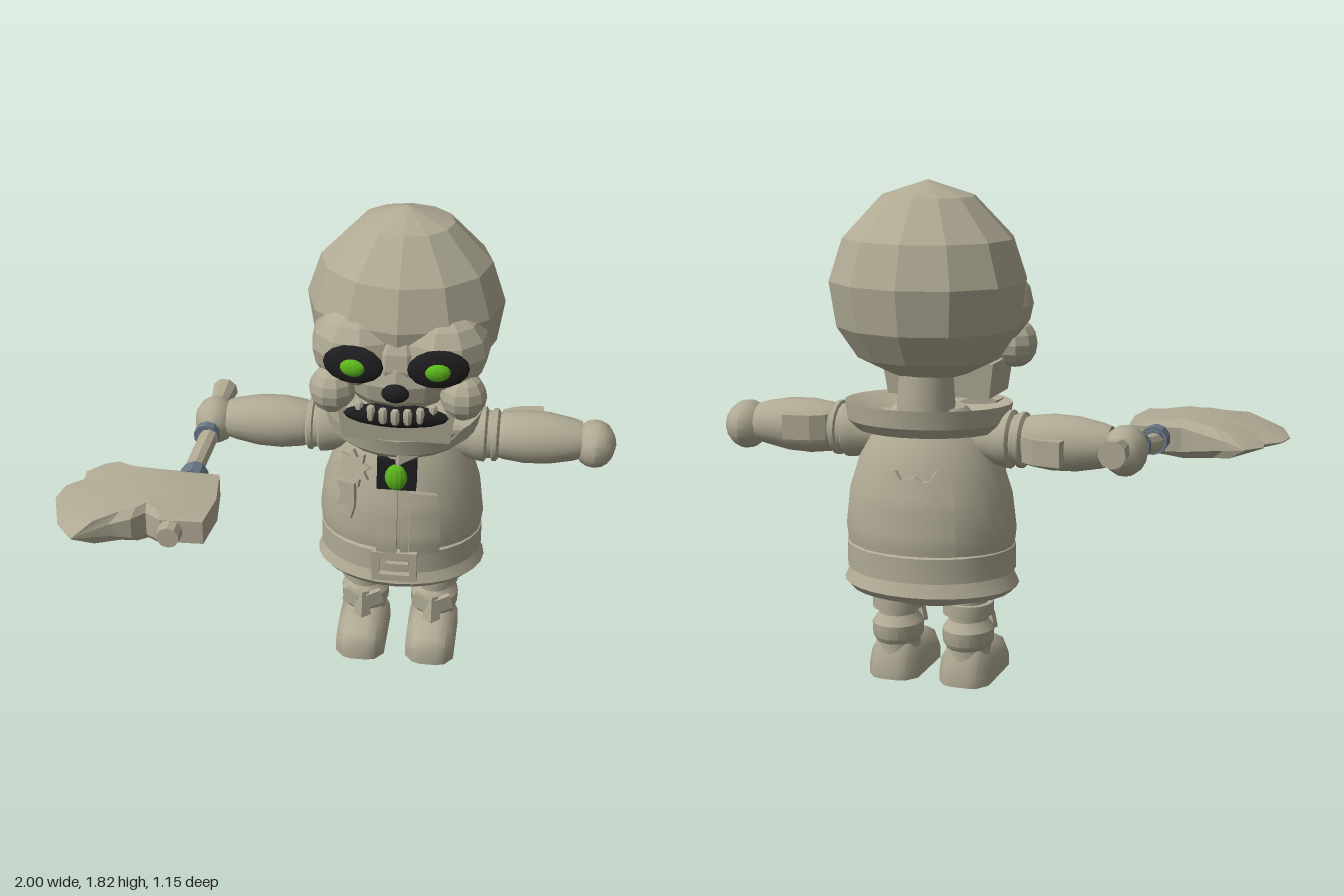
import * as THREE from 'three';
import { toCreasedNormals } from 'three/addons/utils/BufferGeometryUtils.js';

const paint = (name, color) => {
  const m = new THREE.MeshStandardMaterial({ color, side: THREE.DoubleSide });
  m.name = name;
  return m;
};
const V = (x, y, z) => new THREE.Vector3(x, y, z);
const P = (a) => a.map(([x, y]) => new THREE.Vector2(x, y));
const CX = 0.2, CZ = -0.25; // body axis

// torso outline: [radius, height]
const TORSO = [[0.305, 0.5], [0.315, 0.58], [0.3, 0.71], [0.262, 0.83], [0.215, 0.93], [0.13, 1.02]];
function torsoRadius(y) {
  for (let i = 1; i < TORSO.length; i++) {
    const [r0, y0] = TORSO[i - 1], [r1, y1] = TORSO[i];
    if (y <= y1) return r0 + (r1 - r0) * (y - y0) / (y1 - y0);
  }
  return 0.13;
}

export function createModel() {
  const bone = paint('bone', 0xb0aa94);
  const black = paint('black', 0x1e1e20);
  const green = paint('green', 0x5cb81c);
  const slate = paint('slate', 0x6b7888);
  const model = new THREE.Group();
  model.name = 'skeletonWithAxe';

  function add(name, geo, mat = bone, pos = [0, 0, 0], rot = [0, 0, 0], crease = 0.6, parent = model) {
    const m = new THREE.Mesh(toCreasedNormals(geo, crease), mat);
    m.name = name;
    m.position.set(...pos);
    m.rotation.set(...rot);
    parent.add(m);
    return m;
  }
  const ball = (rx, ry, rz, w = 14, h = 10) => new THREE.SphereGeometry(1, w, h).scale(rx, ry, rz);
  const lathe = (pts, n = 24, sz = 1) => new THREE.LatheGeometry(P(pts), n).scale(1, 1, sz);
  const plate = (pts, depth, bevel = 0) => new THREE.ExtrudeGeometry(new THREE.Shape(P(pts)), {
    depth, bevelEnabled: bevel > 0, bevelSize: bevel, bevelThickness: bevel, bevelSegments: 1 });

  // Raised cloth panel that follows the torso
  function panel(name, a0, a1, y0, top, lift) {
    const n = 14, geo = new THREE.PlaneGeometry(1, 1, n, n), p = geo.attributes.position;
    for (let j = 0; j <= n; j++) for (let i = 0; i <= n; i++) {
      const u = Math.min(1, Math.max(0, (i - 1) / (n - 2)));
      const v = 1 - Math.min(1, Math.max(0, (j - 1) / (n - 2)));
      const edge = i === 0 || j === 0 || i === n || j === n;
      const a = a0 + (a1 - a0) * u, y = y0 + (top(u) - y0) * v;
      const r = torsoRadius(y) + (edge ? -0.02 : lift);
      p.setXYZ(j * (n + 1) + i, r * Math.sin(a), y, r * Math.cos(a) * 0.8);
    }
    add(name, geo, bone, [CX, 0, CZ]);
  }

  // Skull and neck
  add('skull', lathe([[0.001, 1.13], [0.14, 1.14], [0.26, 1.2], [0.335, 1.31], [0.36, 1.47], [0.31, 1.62],
    [0.17, 1.765], [0.001, 1.82]], 12, 0.9), bone, [CX, 0, -0.255], [0, 0, 0], 0.05);
  add('neck', new THREE.CylinderGeometry(0.095, 0.11, 0.24, 12), bone, [CX, 1.07, -0.29]);

  // Face
  add('muzzle', ball(0.21, 0.17, 0.19, 12, 8), bone, [CX, 1.27, -0.09], [0, 0, 0], 0.3);
  add('noseBridge', ball(0.13, 0.16, 0.13, 10, 8), bone, [CX, 1.33, -0.04], [0, 0, 0], 0.3);
  for (const s of [-1, 1]) {
    const x = CX + s * 0.15;
    add('brow', ball(0.175, 0.155, 0.16, 10, 8), bone, [x, 1.365, -0.06], [0, s * 0.2, 0], 0.3);
    add('eyeSocket', ball(0.11, 0.072, 0.025, 20, 8), black, [x, 1.362, 0.1], [-0.05, s * 0.15, 0]);
    add('eye', ball(0.045, 0.033, 0.02, 14, 8), green, [x, 1.36, 0.124], [0, s * 0.15, 0]);
    add('cheek', ball(0.085, 0.09, 0.085, 10, 8), bone, [CX + s * 0.235, 1.215, 0.01], [0, 0, 0], 0.3);
  }
  add('noseHole', ball(0.05, 0.036, 0.025, 12, 8), black, [CX, 1.255, 0.1]);
  add('jaw', new THREE.CylinderGeometry(0.3, 0.275, 0.13, 4).rotateY(Math.PI / 4).scale(1, 1, 0.56),
    bone, [CX, 1.1, -0.06], [0, 0, 0], 0.1);
  add('mouth', ball(0.19, 0.047, 0.03, 20, 8), black, [CX, 1.145, 0.06]);
  for (let i = 0; i < 7; i++) {
    const t = i - 3;
    add('tooth', new THREE.CapsuleGeometry(0.017, 0.032, 2, 7), bone,
      [CX + t * 0.044, 1.153 + t * t * 0.0012, 0.087 - t * t * 0.003]);
  }

  // Coat
  add('torso', lathe([[0.001, 0.31], [0.18, 0.315], [0.25, 0.36], ...TORSO, [0.001, 1.03]], 28, 0.8), bone, [CX, 0, CZ]);
  add('coatHem', lathe([[0.24, 0.37], [0.3, 0.35], [0.325, 0.375], [0.3, 0.425], [0.29, 0.45]], 28, 0.78),
    bone, [CX, 0, CZ], [0, 0, 0], 0.4);
  add('belt', lathe([[0.29, 0.43], [0.312, 0.43], [0.312, 0.52], [0.29, 0.53]], 28, 0.83), bone, [CX, 0, CZ]);
  panel('frontFlap', -0.2, 0.02, 0.52, () => 0.82, 0.04);
  panel('frontFlap', 0.06, 0.15, 0.52, () => 0.8, 0.03);
  panel('pocket', 0.16, 0.52, 0.52, (u) => 0.78 - u * 0.02, 0.025);
  const zig = [0.77, 0.79, 0.84, 0.79, 0.81, 0.78, 0.84, 0.8];
  panel('backPatch', Math.PI - 0.55, Math.PI + 0.55, 0.53, (u) => {
    const t = u * 6.99, i = Math.floor(t);
    return zig[i] + (zig[i + 1] - zig[i]) * (t - i);
  }, 0.02);

  // Collar rising to the back, with pointed lapels
  add('collar', lathe([[0.17, 0], [0.255, -0.035], [0.29, 0], [0.3, 0.065], [0.23, 0.04], [0.17, 0.02], [0.17, 0]], 24),
    bone, [CX, 0.975, -0.265], [0.06, 0, 0], 0.4);
  for (const s of [-1, 1]) {
    const geo = plate([[0, -0.075], [0.2, 0.015], [0.23, 0.05], [0.15, 0.06], [0, -0.01]], 0.03, 0.006);
    add('lapel', geo, bone, [CX, 0.99, -0.015], [-0.15, s > 0 ? 0.3 : Math.PI - 0.3, 0], 0.2);
  }

  // Brooch, buckle and badge
  add('broochBack', new THREE.BoxGeometry(0.145, 0.13, 0.05), black, [CX, 0.86, -0.025]);
  add('broochGem', ball(0.042, 0.054, 0.025, 12, 8), green, [CX, 0.857, 0.012], [0, 0, 0], 0.3);
  const frame = new THREE.Shape(P([[-0.085, -0.063], [0.085, -0.063], [0.085, 0.063], [-0.085, 0.063]]));
  frame.holes.push(new THREE.Path(P([[-0.057, -0.036], [-0.057, 0.036], [0.057, 0.036], [0.057, -0.036]])));
  add('buckle', new THREE.ExtrudeGeometry(frame, { depth: 0.03, bevelEnabled: false }), bone, [CX, 0.47, 0]);
  add('bucklePin', new THREE.BoxGeometry(0.085, 0.016, 0.02), bone, [CX + 0.01, 0.475, 0.018]);
  const star = [];
  for (let i = 0; i < 18; i++) {
    const a = i * Math.PI / 9, r = i % 2 ? 0.048 : 0.074;
    star.push([r * Math.sin(a), r * Math.cos(a)]);
  }
  add('badge', plate(star, 0.02), bone, [0.035, 0.835, -0.075], [-0.3, -0.35, 0], 0.2);
  add('badgeRibbon', plate([[-0.04, 0.08], [0.03, 0.08], [0.03, -0.02], [0.015, -0.07], [0, -0.02],
    [-0.045, -0.02], [-0.025, 0.02]], 0.02), bone, [0.02, 0.715, -0.04], [-0.1, -0.35, 0], 0.2);

  for (const s of [-1, 1]) {
    // Legs and boots
    const x = CX + s * 0.137;
    add('leg', new THREE.CylinderGeometry(0.075, 0.07, 0.2, 14), bone, [x, 0.27, -0.24]);
    add('kneeCuff', new THREE.CylinderGeometry(0.093, 0.093, 0.046, 16), bone, [x, 0.278, -0.24]);
    add('bootShaft', lathe([[0.085, 0.06], [0.08, 0.13], [0.092, 0.15], [0.094, 0.2], [0.07, 0.235]], 16, 1.1),
      bone, [x, 0, -0.24]);
    const sole = new THREE.Shape(P([[0.345, 0], [0, 0], [0, 0.07], [0.02, 0.105], [0.08, 0.13], [0.15, 0.14],
      [0.31, 0.14], [0.345, 0.06]]));
    const foot = new THREE.ExtrudeGeometry(sole, { depth: 0.19, steps: 6, bevelEnabled: false });
    const fp = foot.attributes.position;
    for (let i = 0; i < fp.count; i++) { // round the foot across its width
      const w = fp.getZ(i) / 0.095 - 1, k = 1 - 0.4 * w * w * w * w;
      fp.setXYZ(i, 0.172 + (fp.getX(i) - 0.172) * (1 - 0.3 * Math.pow(w, 4)), fp.getY(i) * k, fp.getZ(i) - 0.095);
    }
    add('foot', foot.rotateY(Math.PI / 2), bone, [x, 0, 0], [0, 0, 0], 0.7);
    add('bootTongue', new THREE.CylinderGeometry(0.025, 0.04, 0.13, 5), bone, [x, 0.17, -0.135], [-0.1, 0, 0], 0.2);
    for (const t of [-1, 1])
      add('bootFlap', new THREE.BoxGeometry(0.06, 0.06, 0.02), bone, [x + t * 0.045, 0.2, -0.142], [0, t * 0.4, t * 0.25]);

    // Arms, turned along x
    const arm = new THREE.Group();
    arm.name = s > 0 ? 'leftArm' : 'rightArm';
    arm.position.set(CX, 0.915, CZ);
    if (s < 0) arm.rotation.y = Math.PI;
    model.add(arm);
    const sleeve = lathe([[0.08, 0.1], [0.09, 0.24], [0.1, 0.27], [0.105, 0.31], [0.09, 0.32], [0.09, 0.335],
      [0.1, 0.34], [0.1, 0.355], [0.085, 0.365], [0.09, 0.38], [0.1, 0.46], [0.097, 0.55], [0.08, 0.64],
      [0.07, 0.67]], 18).rotateZ(-Math.PI / 2);
    add('sleeve', sleeve, bone, [0, 0, 0], [0, 0, 0], 0.5, arm);
    add('hand', ball(0.08, 0.09, 0.098, 12, 8), bone, [0.72, -0.012, 0], [0, 0, 0], 0.7, arm);
    const flap = plate([[0.37, 0], [0.37, 0.09], [0.42, 0.12], [0.52, 0.135], [0.53, 0.05], [0.65, 0]], 0.09);
    add('sleeveFlap', flap.rotateX(-s * Math.PI / 2), bone, [0, s > 0 ? -0.03 : 0.03, 0], [0, 0, 0], 0.2, arm);
  }

  // Axe handle and bands
  const path = new THREE.CatmullRomCurve3([V(-0.52, 0.93, -0.43), V(-0.522, 0.91, -0.28), V(-0.525, 0.895, -0.13),
    V(-0.54, 0.87, 0), V(-0.545, 0.862, 0.12), V(-0.545, 0.86, 0.5)]);
  add('axeHandle', new THREE.TubeGeometry(path, 24, 0.036, 9), bone);
  add('axePommel', new THREE.CylinderGeometry(0.035, 0.05, 0.11, 9).rotateX(Math.PI / 2), bone, [-0.52, 0.928, -0.385]);
  add('axeTip', new THREE.CylinderGeometry(0.04, 0.046, 0.06, 10).rotateX(Math.PI / 2), bone, [-0.545, 0.862, 0.495]);
  const band = (r, l, z, y) => add('axeBand', new THREE.CylinderGeometry(r, r, l, 10).rotateX(Math.PI / 2), slate, [-0.535, y, z]);
  band(0.048, 0.035, -0.14, 0.897);
  band(0.043, 0.02, 0.085, 0.865);
  band(0.053, 0.06, 0.125, 0.864);

  // Axe head: outline, shoulder ring and centre on each face
  const rim = [[-0.877, 0.06], [-0.79, 0.11], [-0.625, 0.16], [-0.53, 0.15], [-0.43, 0.155], [-0.41, 0.32], [-0.43, 0.475],
    [-0.58, 0.48], [-0.64, 0.44], [-0.685, 0.48], [-0.76, 0.5], [-0.877, 0.57], [-0.95, 0.48], [-1, 0.32],
    [-0.985, 0.23], [-0.93, 0.18], [-0.935, 0.125]];
  const n = rim.length, pos = [], idx = [];
  for (const s of [1, -1]) {
    for (const [x, z] of rim) pos.push(x, 0.86 + s * Math.max(0.002, Math.min(0.045, (x + 0.88) * 0.2)), z);
    for (const [x, z] of rim) {
      const ix = -0.64 + (x + 0.64) * 0.72;
      pos.push(ix, 0.86 + s * (0.075 - Math.abs(ix + 0.63) * 0.16), 0.32 + (z - 0.32) * 0.8);
    }
    pos.push(-0.64, 0.86 + s * 0.075, 0.32);
  }
  const half = 2 * n + 1;
  for (let i = 0; i < n; i++) {
    const j = (i + 1) % n;
    const tri = (o, a, b, c) => (o ? idx.push(a + o, c + o, b + o) : idx.push(a, b, c));
    for (const o of [0, half]) {
      tri(o, i, n + i, j);
      tri(o, j, n + i, n + j);
      tri(o, n + i, 2 * n, n + j);
    }
    idx.push(i, j, half + i, j, half + j, half + i);
  }
  // wind every face outward
  const blade = new THREE.BufferGeometry();
  blade.setAttribute('position', new THREE.Float32BufferAttribute(pos, 3));
  blade.setIndex(idx.map((_, k) => idx[k - (k % 3) + (2 - (k % 3))]));
  add('axeHead', blade, bone, [0, 0, 0], [0, 0, 0], 0.35);
  return model;
}
